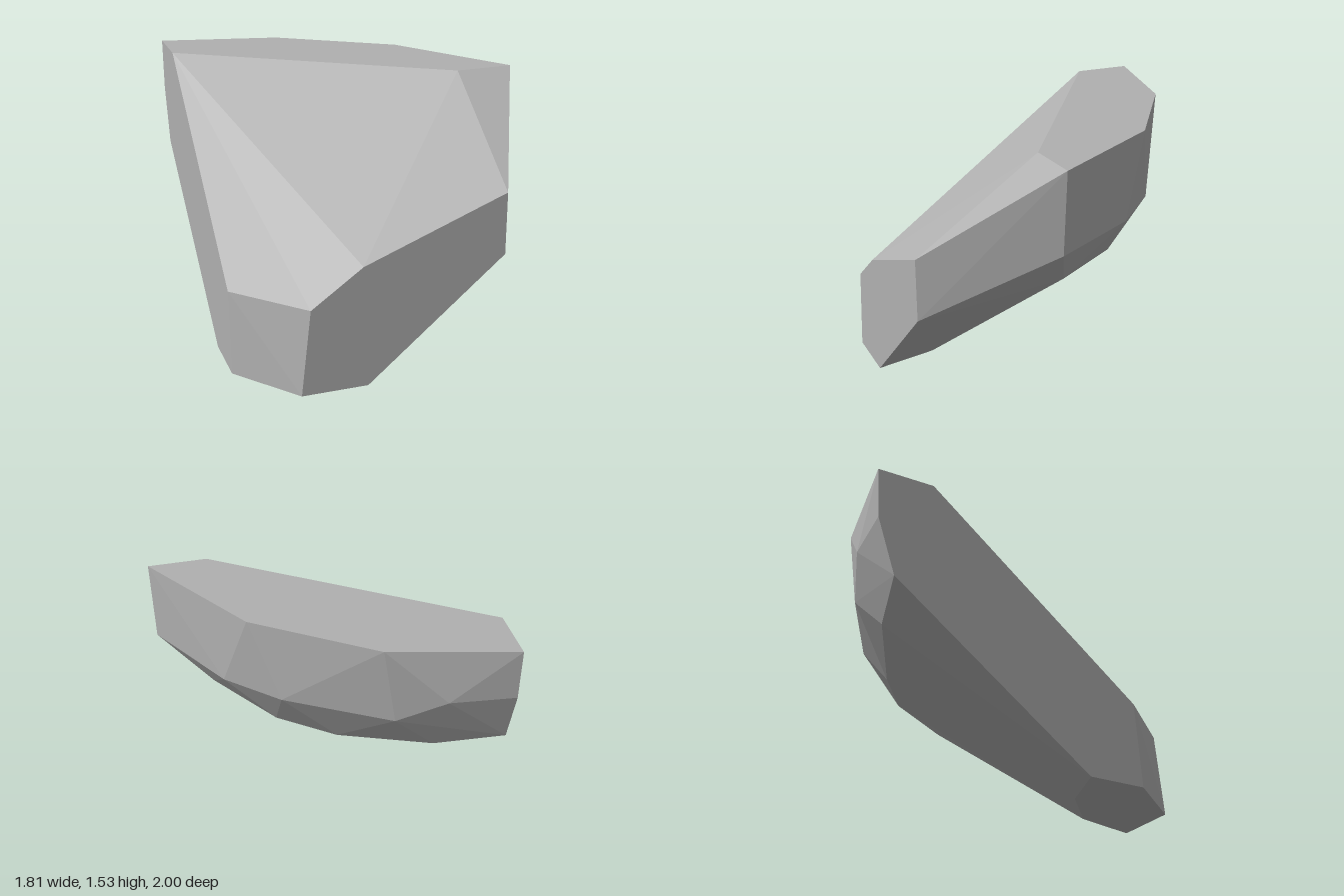
import * as THREE from 'three';
import { ConvexGeometry } from 'three/addons/geometries/ConvexGeometry.js';

// Corners of the boulder, grouped by the cut they lie on: [x, y, z]
const flatTop = [[-0.905, -1], [-0.2, -0.85], [0.45, -0.42], [0.905, 0.275], [0.565, 0.29], [-0.905, -0.665]]
  .map(([x, z]) => [x, 1.53, z]);
const flatBase = [[-0.61, 1], [-0.23, 1], [-0.32, 0.63], [-0.58, 0.4], [-0.905, 0.29], [-0.905, 0.63]]
  .map(([x, z]) => [x, 0, z]);
const frontCut = [[-0.555, 0.5], [-0.26, 0.71], [0.565, 1.03], [0.565, 0.67]]
  .map(([x, y]) => [x, y, 1]);
const sideCut = [[0.49, 0.6], [0.9, -0.89], [1.23, -0.99]]
  .map(([y, z]) => [-0.905, y, z]);
// Chipped bands round the back, below the top
const upperBand = [[0.885, 1.05, 0.285], [0.565, 1.05, -0.25], [0.286, 1.065, -0.53], [-0.28, 1.06, -0.84], [-0.54, 1.22, -0.95]];
const lowerBand = [[0.576, 0.77, 0.14], [0.275, 0.76, -0.29], [-0.035, 0.755, -0.515], [-0.525, 0.82, -0.78]];

export function createModel() {
  const group = new THREE.Group();
  group.name = 'boulder';

  const stone = new THREE.MeshStandardMaterial({ color: 0xb0b0b0 });
  stone.name = 'grey stone';

  // One faceted convex stone
  const corners = [...flatTop, ...flatBase, ...frontCut, ...sideCut, ...upperBand, ...lowerBand]
    .map((p) => new THREE.Vector3(...p));
  const rock = new THREE.Mesh(new ConvexGeometry(corners), stone);
  rock.name = 'rock';
  group.add(rock);
  return group;
}
